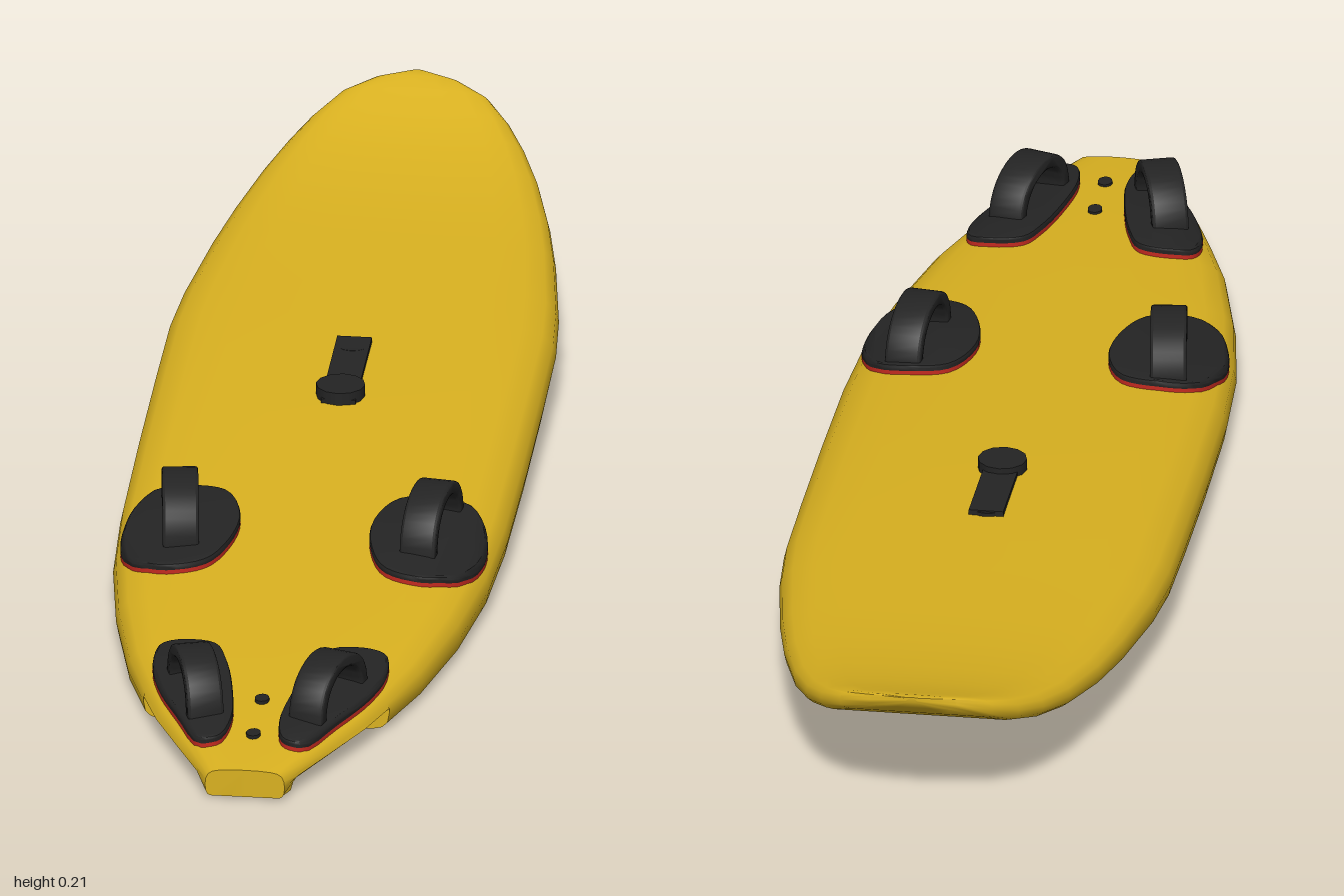
import * as THREE from 'three';
import { toCreasedNormals } from 'three/addons/utils/BufferGeometryUtils.js';

const material = (name, color) => {
  const m = new THREE.MeshStandardMaterial({ color });
  m.name = name;
  return m;
};

// Hull stations from tail to nose: z, half width, bottom y, deck y, side cutout flag
const STATIONS = [
  [1, 0.055, 0.003, 0.043, 0], [0.97, 0.07, 0.003, 0.046, 1], [0.9, 0.105, 0.003, 0.052, 1],
  [0.82, 0.144, 0.003, 0.058, 1], [0.75, 0.17, 0.002, 0.063, 1], [0.75, 0.17, 0.002, 0.063, 0],
  [0.65, 0.204, 0.001, 0.07, 0], [0.5, 0.238, 0, 0.079, 0], [0.35, 0.26, 0.004, 0.088, 0],
  [0.2, 0.268, 0.009, 0.097, 0], [0, 0.27, 0.019, 0.109, 0], [-0.2, 0.27, 0.032, 0.12, 0],
  [-0.35, 0.269, 0.045, 0.126, 0], [-0.45, 0.261, 0.054, 0.13, 0], [-0.6, 0.239, 0.071, 0.136, 0],
  [-0.7, 0.219, 0.085, 0.142, 0], [-0.8, 0.192, 0.103, 0.153, 0], [-0.87, 0.165, 0.121, 0.166, 0],
  [-0.92, 0.138, 0.14, 0.18, 0], [-0.96, 0.105, 0.163, 0.194, 0], [-0.985, 0.06, 0.183, 0.203, 0],
  [-1, 0.008, 0.198, 0.206, 0],
];
// Half cross-section from deck centre to keel: fraction of width, fraction of height
const SECTION = [[0, 1], [0.35, 0.99], [0.65, 0.96], [0.82, 0.91], [0.93, 0.8], [0.985, 0.62],
  [1, 0.4], [0.985, 0.17], [0.94, 0.05], [0.86, 0], [0.4, 0], [0, 0]];

function sectionAt([, w, , , cut]) {
  if (!cut) return SECTION;
  const c = Math.min(0.9, 0.06 / w);
  return [...SECTION.slice(0, 6), [1, 0.52], [0.97, 0.46], [c + 0.05, 0.42], [c, 0.38], [c, 0], [0, 0]];
}

// Height of the deck at any point, for seating the fittings
function deckY(x, z) {
  let i = 0;
  while (i < STATIONS.length - 2 && STATIONS[i + 1][0] > z) i++;
  const a = STATIONS[i], b = STATIONS[i + 1];
  const t = THREE.MathUtils.clamp((a[0] - z) / (a[0] - b[0] || 1), 0, 1);
  const [, w, bottom, top] = a.map((v, k) => v + (b[k] - v) * t);
  const u = Math.min(Math.abs(x) / w, 0.985);
  let j = 0;
  while (SECTION[j + 1][0] < u) j++;
  const [u0, v0] = SECTION[j], [u1, v1] = SECTION[j + 1];
  return bottom + (top - bottom) * (v0 + ((v1 - v0) * (u - u0)) / (u1 - u0));
}

function hullGeometry() {
  const positions = [], index = [];
  for (const s of STATIONS) {
    const half = sectionAt(s);
    const ring = [...half, ...half.slice(1, -1).reverse().map(([u, v]) => [-u, v])];
    for (const [u, v] of ring) positions.push(u * s[1], s[2] + (s[3] - s[2]) * v, s[0]);
  }
  const n = SECTION.length * 2 - 2, last = (STATIONS.length - 1) * n;
  for (let i = 0; i < STATIONS.length - 1; i++) {
    for (let j = 0; j < n; j++) {
      const a = i * n + j, b = i * n + ((j + 1) % n);
      index.push(a, b, b + n, a, b + n, a + n);
    }
  }
  // Tail and nose caps
  for (let j = 1; j < n - 1; j++) {
    index.push(0, j + 1, j, last, last + j, last + j + 1);
  }
  const g = new THREE.BufferGeometry();
  g.setAttribute('position', new THREE.Float32BufferAttribute(positions, 3));
  g.setIndex(index);
  return toCreasedNormals(g, 0.85);
}

// Plate cut to a closed outline in x and z, bent to sit on the deck
function deckPlate(outline, side, from, to, bevel) {
  const curve = new THREE.CatmullRomCurve3(
    outline.map(([x, z]) => new THREE.Vector3(x * side, -z, 0)), true);
  const shape = new THREE.Shape(curve.getPoints(40).slice(0, -1).map((p) => new THREE.Vector2(p.x, p.y)));
  const g = new THREE.ExtrudeGeometry(shape, {
    depth: to - from - bevel, bevelEnabled: bevel > 0, bevelThickness: bevel,
    bevelSize: bevel, bevelOffset: -bevel, bevelSegments: 2,
  });
  g.rotateX(-Math.PI / 2);
  const p = g.attributes.position;
  for (let i = 0; i < p.count; i++) {
    p.setY(i, p.getY(i) + from + deckY(p.getX(i), p.getZ(i)));
  }
  return toCreasedNormals(g, 0.7);
}

// Half-ring strap running along z
function strapGeometry(radius, height, width) {
  const shape = new THREE.Shape();
  const arc = (r, h, k) => [Math.cos(k) * r, Math.pow(Math.sin(k), 0.85) * h];
  const steps = 20;
  for (let i = 0; i <= steps; i++) {
    const [x, y] = arc(radius, height, (Math.PI * i) / steps);
    i ? shape.lineTo(x, y) : shape.moveTo(x, 0);
  }
  for (let i = steps; i >= 0; i--) {
    shape.lineTo(...arc(radius - 0.02, height - 0.018, (Math.PI * i) / steps));
  }
  const g = new THREE.ExtrudeGeometry(shape, {
    depth: width - 0.008, bevelThickness: 0.004, bevelSize: 0.003, bevelOffset: -0.003, bevelSegments: 2,
  });
  g.translate(0, 0, -width / 2 + 0.004);
  g.rotateY(Math.PI / 2);
  return toCreasedNormals(g, 0.8);
}

const FRONT_PAD = [[0.12, 0.212], [0.17, 0.2], [0.22, 0.212], [0.248, 0.27], [0.25, 0.35],
  [0.225, 0.415], [0.175, 0.438], [0.125, 0.42], [0.098, 0.36], [0.092, 0.28]];
const REAR_PAD = [[0.08, 0.665], [0.12, 0.655], [0.155, 0.665], [0.162, 0.71], [0.145, 0.78],
  [0.11, 0.86], [0.07, 0.935], [0.045, 0.93], [0.033, 0.88], [0.042, 0.79], [0.06, 0.71]];

export function createModel() {
  const model = new THREE.Group();
  model.name = 'sailboard';
  const yellow = material('hull yellow', 0xd9b120);
  const black = material('rubber black', 0x242424);
  const red = material('pad edge red', 0xc42a20);
  const add = (name, geometry, mat, x = 0, y = 0, z = 0) => {
    const mesh = new THREE.Mesh(geometry, mat);
    mesh.name = name;
    mesh.position.set(x, y, z);
    model.add(mesh);
    return mesh;
  };

  add('hull', hullGeometry(), yellow);

  // Foot pads and straps, mirrored
  const fittings = [
    { name: 'front', outline: FRONT_PAD, x: 0.174, z: 0.294, r: 0.083, h: 0.075, turn: -0.13 },
    { name: 'rear', outline: REAR_PAD, x: 0.092, z: 0.803, r: 0.078, h: 0.073, turn: -0.31 },
  ];
  for (const side of [1, -1]) {
    const hand = side > 0 ? 'Left' : 'Right';
    for (const f of fittings) {
      add(`${f.name}PadEdge${hand}`, deckPlate(f.outline, side, -0.004, 0.006, 0), red);
      add(`${f.name}Pad${hand}`, deckPlate(f.outline, side, 0.006, 0.015, 0.004), black);
      const strap = add(`${f.name}Strap${hand}`, strapGeometry(f.r, f.h, 0.05), black,
        f.x * side, deckY(f.x, f.z) + 0.004, f.z);
      strap.rotation.y = f.turn * side;
    }
  }

  // Mast track with raised round foot
  const track = add('mastTrack', new THREE.BoxGeometry(0.048, 0.012, 0.19), black, 0, deckY(0, -0.175), -0.175);
  track.rotation.x = 0.056;
  add('mastFoot', new THREE.CylinderGeometry(0.034, 0.034, 0.022, 12), black, 0, deckY(0, -0.108) + 0.005, -0.108);
  add('mastTrackEnd', new THREE.CylinderGeometry(0.024, 0.024, 0.012, 16), black, 0, deckY(0, -0.25), -0.25);

  // Screw plugs on the tail
  for (const z of [0.8, 0.9]) {
    add('tailPlug', new THREE.CylinderGeometry(0.01, 0.01, 0.008, 12), black, 0, deckY(0, z), z).scale.z = 1.3;
  }

  // Fin slot under the tail
  add('finSlot', new THREE.BoxGeometry(0.026, 0.004, 0.17), black, 0, 0.003, 0.85);
  return model;
}
